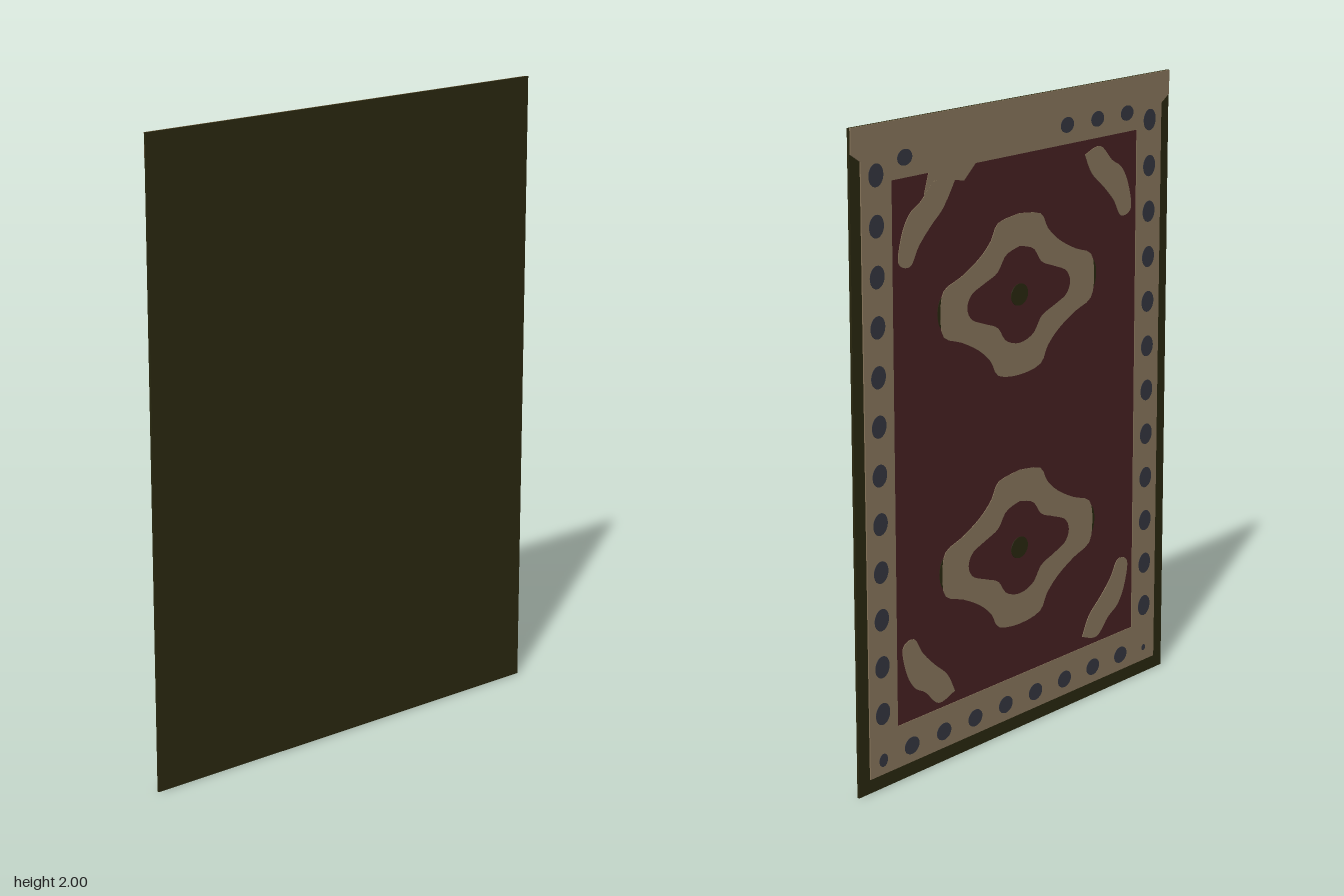
import * as THREE from 'three';
import { mergeGeometries } from 'three/addons/utils/BufferGeometryUtils.js';

const BACK = -0.002; // pattern side of the backing cloth

const material = (name, color) => new THREE.MeshStandardMaterial({ name, color });
const toVectors = (points) => points.map(([x, y]) => new THREE.Vector2(x, y));

// Thin plate rising from the backing towards -z
function plate(shape, thickness) {
  const geometry = new THREE.ExtrudeGeometry(shape, { depth: thickness, bevelEnabled: false, curveSegments: 24 });
  return geometry.translate(0, 0, BACK - thickness);
}

function ellipse(x, y, rx, ry) {
  return new THREE.Shape().absellipse(x, y, rx, ry, 0, Math.PI * 2);
}

// Closed scalloped outline from one quadrant, top to side
function scallop(quadrant, cx, cy) {
  const flip = (sx, sy) => quadrant.map(([x, y]) => [cx + x * sx, cy + y * sy]);
  const loop = [
    ...flip(1, 1),
    ...flip(1, -1).reverse().slice(1),
    ...flip(-1, -1).slice(1),
    ...flip(-1, 1).reverse().slice(1, -1),
  ];
  const curve = new THREE.SplineCurve(toVectors([...loop, loop[0]]));
  return curve.getPoints(72).slice(0, -1);
}

export function createModel() {
  const group = new THREE.Group();
  const olive = material('dark olive', 0x29270f);
  const tan = material('tan', 0x86745a);
  const red = material('deep red', 0x452022);
  const blue = material('slate blue', 0x33353f);

  const add = (name, geometry, mat) => {
    const mesh = new THREE.Mesh(geometry, mat);
    mesh.name = name;
    group.add(mesh);
  };

  // Backing cloth
  add('backing', new THREE.BoxGeometry(1.494, 2, 0.008).translate(0, 1, BACK + 0.004), olive);

  // Red field
  const field = new THREE.Shape(toVectors([[-0.6, 0.15], [0.6, 0.15], [0.6, 1.86], [-0.6, 1.86]]));
  add('field', plate(field, 0.002), red);

  // Tan border, full width along the top edge
  const border = new THREE.Shape(toVectors([
    [-0.745, 2], [-0.745, 1.925], [-0.705, 1.9], [-0.7, 0.045],
    [0.7, 0.045], [0.705, 1.9], [0.745, 1.925], [0.745, 2],
  ]));
  border.holes.push(new THREE.Path(toVectors([
    [-0.577, 0.178], [-0.577, 1.83], [0.577, 1.83], [0.577, 0.178],
  ])));
  add('border', plate(border, 0.004), tan);

  // Oval dots around the border
  const dots = [];
  for (const side of [-1, 1]) {
    for (let i = 0; i < 13; i++) {
      const size = i < 12 ? 1 : side > 0 ? 0.6 : 0.3;
      dots.push(ellipse(side * 0.643, 1.854 - i * 0.147, 0.031 * size, 0.034 * size));
    }
  }
  for (let i = 0; i < 8; i++) dots.push(ellipse(0.515 - i * 0.1475, 0.098, 0.033, 0.027));
  for (const x of [0.52, -0.225, -0.375, -0.525]) dots.push(ellipse(x, 1.889, 0.032, 0.024));
  add('borderDots', mergeGeometries(dots.map((s) => plate(s, 0.005))), blue);

  // Two scalloped medallions with dark tips and centres
  const outer = [[0, 0.25], [0.1, 0.235], [0.135, 0.185], [0.19, 0.14], [0.27, 0.1], [0.35, 0.07], [0.366, 0]];
  const inner = [[0, 0.15], [0.065, 0.132], [0.105, 0.085], [0.165, 0.062], [0.225, 0.038], [0.245, 0]];
  for (const y of [1.4, 0.597]) {
    const ring = new THREE.Shape(scallop(outer, 0.003, y));
    ring.holes.push(new THREE.Path(scallop(inner, 0.003, y)));
    add('medallion', plate(ring, 0.004), tan);
    add('medallionCentre', plate(ellipse(0.003, y, 0.04, 0.034), 0.004), olive);
    for (const side of [-1, 1]) {
      add('medallionTip', plate(ellipse(0.003 + side * 0.352, y + 0.005, 0.026, 0.05), 0.003), olive);
    }
  }

  // Wavy corner bands, mirrored to all four corners
  const band = [
    [0.315, 1.785], [0.39, 1.803], [0.45, 1.752], [0.5, 1.722], [0.535, 1.665], [0.55, 1.585],
    [0.5, 1.568], [0.462, 1.622], [0.41, 1.672], [0.35, 1.722],
  ];
  for (const sx of [-1, 1]) {
    for (const top of [true, false]) {
      const points = band.map(([x, y]) => [x * sx, top ? y : 2 - y]);
      const curve = new THREE.SplineCurve(toVectors([...points, points[0]]));
      add('cornerBand', plate(new THREE.Shape(curve.getPoints(50).slice(0, -1)), 0.004), tan);
    }
  }

  // Patch where one corner band runs into the top border
  const join = new THREE.Shape(toVectors([
    [0.2, 1.835], [0.26, 1.785], [0.3, 1.793], [0.335, 1.74], [0.42, 1.74], [0.436, 1.77], [0.415, 1.835],
  ]));
  add('cornerJoin', plate(join, 0.0036), tan);

  return group;
}
